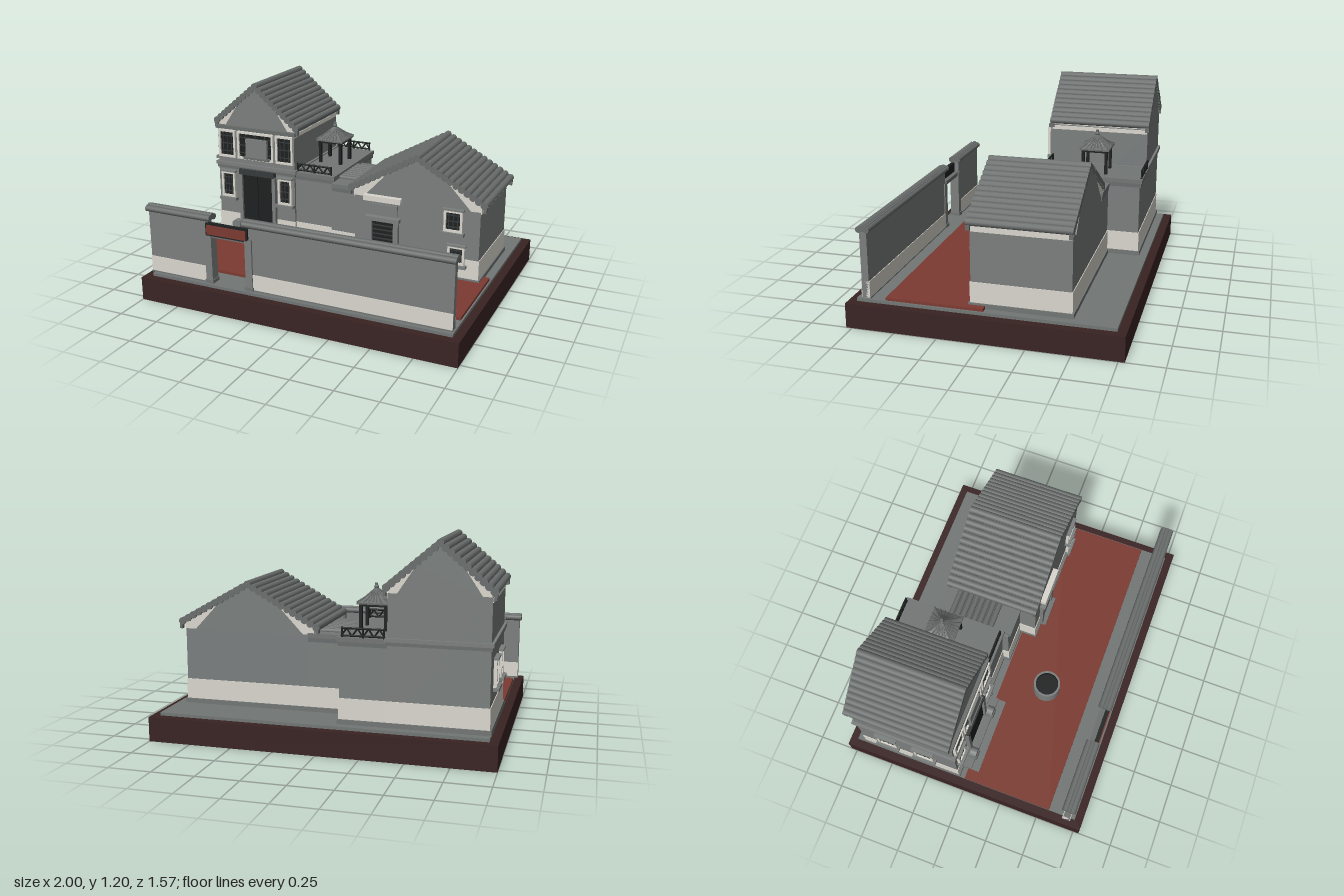
import * as THREE from 'three';

const mat = (name, color, side = THREE.FrontSide) => {
  const m = new THREE.MeshStandardMaterial({ color, side });
  m.name = name;
  return m;
};

export function createModel() {
  const root = new THREE.Group();
  const wall = mat('wall gray', 0x7b7f7e);
  const tile = mat('tile gray', 0x6a6e6d);
  const paving = mat('paving gray', 0x727675);
  const white = mat('plaster white', 0xdad7ce);
  const red = mat('brick red', 0x7c3b32);
  const soil = mat('base brown', 0x3a2323);
  const dark = mat('dark wood', 0x1e2121);
  const lattice = mat('lattice gray', 0x363a3a);

  const add = (name, geo, m, parent = root) => {
    const mesh = new THREE.Mesh(geo, m);
    mesh.name = name;
    parent.add(mesh);
    return mesh;
  };
  // box given by its limits on each axis
  const box = (name, x0, x1, y0, y1, z0, z1, m, parent = root) => {
    const b = add(name, new THREE.BoxGeometry(x1 - x0, y1 - y0, z1 - z0), m, parent);
    b.position.set((x0 + x1) / 2, (y0 + y1) / 2, (z0 + z1) / 2);
    return b;
  };
  // round bar between two points
  const bar = (name, a, b, r, m, parent = root, sides = 8) => {
    const p = new THREE.Vector3(...a), d = new THREE.Vector3(...b).sub(p);
    const c = add(name, new THREE.CylinderGeometry(r, r, d.length(), sides), m, parent);
    c.position.copy(p).addScaledVector(d, 0.5);
    c.quaternion.setFromUnitVectors(new THREE.Vector3(0, 1, 0), d.normalize());
    return c;
  };
  const prism = (name, pts, z0, z1, m, parent) => {
    const s = new THREE.Shape(pts.map(p => new THREE.Vector2(...p)));
    const e = add(name, new THREE.ExtrudeGeometry(s, { depth: z1 - z0, bevelEnabled: false }), m, parent);
    e.position.z = z0;
    return e;
  };
  const group = (name, parent = root) => {
    const g = new THREE.Group();
    g.name = name;
    parent.add(g);
    return g;
  };

  // framed lattice window facing its own +z
  const windowAt = (name, x, y, z, w, h, rotY = 0, sill = true) => {
    const g = group(name);
    g.position.set(x, y, z);
    g.rotation.y = rotY;
    const a = w / 2, b = h / 2, t = 0.014;
    box('pane', -a, a, -b, b, 0, 0.008, dark, g);
    for (const s of [-1, 1]) {
      box('frameSide', s * a - t / 2, s * a + t / 2, -b, b, 0, 0.02, white, g);
      box('frameRail', -a - t / 2, a + t / 2, s * b - t / 2, s * b + t / 2, 0, 0.02, white, g);
    }
    for (const f of [-0.5, 0, 0.5]) {
      box('mullion', f * a * 1.1 - 0.003, f * a * 1.1 + 0.003, -b, b, 0.004, 0.012, lattice, g);
      box('crossBar', -a, a, f * b * 1.2 - 0.003, f * b * 1.2 + 0.003, 0.004, 0.012, lattice, g);
    }
    if (sill) {
      box('sill', -a - 0.02, a + 0.02, -b - 0.025, -b - 0.007, 0, 0.035, wall, g);
      box('hood', -a - 0.015, a + 0.015, b + 0.007, b + 0.018, 0, 0.028, wall, g);
    }
  };

  // walls with a plinth and a white dado band
  const body = (name, x0, x1, yTop, z0, z1) => {
    const g = group(name), e = 0.004;
    box('walls', x0, x1, 0.16, yTop, z0, z1, wall, g);
    box('plinth', x0 - 0.012, x1 + 0.012, 0.16, 0.19, z0 - 0.012, z1 + 0.012, paving, g);
    box('whiteBand', x0 - e, x1 + e, 0.19, 0.31, z0 - e, z1 + e, white, g);
    return g;
  };

  // pitched roof with round tile rows running along the ridge
  const roof = (name, cx, half, yEave, yRidge, z0, z1, wallHalf, wallTop, rows) => {
    const g = group(name), r = 0.022, zc = (z0 + z1) / 2;
    const run = half - r, rise = yRidge - yEave, len = Math.hypot(run, rise);
    const under = x => yRidge - 0.014 - rise * x / run;
    const inset = 0.012;
    prism('whiteGable', [[cx - wallHalf, wallTop], [cx + wallHalf, wallTop],
      [cx + wallHalf, under(wallHalf)], [cx, under(0)], [cx - wallHalf, under(wallHalf)]], z0 + inset, z1 - inset, white, g);
    const k = wallHalf * 0.45, f = wallHalf * 0.84;
    prism('gableWall', [[cx - f, wallTop], [cx + f, wallTop], [cx + k, under(k)],
      [cx, under(0)], [cx - k, under(k)]], z0 + 0.007, z1 - 0.007, wall, g);
    for (const s of [-1, 1]) {
      const slab = add('roofSlab', new THREE.BoxGeometry(len, 0.018, z1 - z0), tile, g);
      slab.position.set(cx + s * run / 2, (yEave + yRidge) / 2, zc);
      slab.rotation.z = -s * Math.atan2(rise, run);
      for (let i = 1; i <= rows; i++) {
        const t = i / rows, x = cx + s * run * t, y = yRidge - rise * t;
        bar('tileRow', [x, y, z0], [x, y, z1], r, tile, g, 10);
      }
      const ex = cx + s * (half - 0.014);
      for (const z of [z0 + 0.012, z1 - 0.012])
        box('eaveBracket', ex - 0.008, ex + 0.008, yEave - 0.045, yEave, z - 0.012, z + 0.012, tile, g);
    }
    bar('ridgeTile', [cx, yRidge, z0], [cx, yRidge, z1], r, tile, g, 10);
  };

  // ground
  box('base', -1, 1, 0, 0.145, -0.785, 0.785, soil);
  box('paving', -0.95, 0.95, 0.145, 0.163, -0.735, 0.735, paving);
  box('brickYard', -0.95, 0.94, 0.163, 0.18, 0, 0.565, red);

  // front boundary wall, in two lengths
  for (const [x0, x1] of [[-0.97, -0.56], [-0.29, 0.94]]) {
    const g = group('boundaryWall');
    box('wall', x0, x1, 0.16, 0.56, 0.662, 0.704, wall, g);
    box('whiteBand', x0, x1, 0.168, 0.265, 0.658, 0.708, white, g);
    box('footing', x0, x1, 0.16, 0.17, 0.655, 0.711, paving, g);
    const c0 = x0 < -0.5 ? x0 - 0.012 : x0 - 0.035, c1 = x0 < -0.5 ? x1 + 0.02 : x1 + 0.008;
    for (const z of [0.66, 0.706]) bar('copingRoll', [c0, 0.568, z], [c1, 0.568, z], 0.018, tile, g, 10);
    box('coping', c0, c1, 0.557, 0.588, 0.658, 0.708, tile, g);
    bar('copingRidge', [c0, 0.578, 0.683], [c1, 0.578, 0.683], 0.017, tile, g, 10);
  }

  // gate with a red board
  const gate = group('gate');
  for (const x of [-0.558, -0.29]) {
    box('gatePost', x - 0.022, x + 0.022, 0.16, 0.475, 0.655, 0.715, wall, gate);
    box('gatePostFoot', x - 0.027, x + 0.027, 0.16, 0.185, 0.65, 0.72, paving, gate);
  }
  box('gateLintel', -0.58, -0.268, 0.455, 0.48, 0.66, 0.712, tile, gate);
  box('gateBoardFrame', -0.57, -0.29, 0.465, 0.542, 0.69, 0.715, dark, gate);
  box('gateBoard', -0.56, -0.30, 0.475, 0.532, 0.714, 0.722, red, gate);

  // well
  const well = group('well');
  well.position.set(-0.22, 0.18, 0.285);
  const rim = [[0.085, 0], [0.085, 0.11], [0.072, 0.11], [0.072, 0.02]].map(p => new THREE.Vector2(...p));
  for (let i = 0; i < 3; i++) // separate segments keep the rim sharp
    add('wellRing', new THREE.LatheGeometry([rim[i], rim[i + 1]], 28), i === 2 ? dark : wall, well);
  add('wellWater', new THREE.CylinderGeometry(0.073, 0.073, 0.02, 28), dark, well).position.y = 0.07;

  // tall house
  const tall = body('tallHouse', -0.94, -0.38, 0.905, -0.675, -0.045);
  box('floorCornice', -0.955, -0.365, 0.64, 0.662, -0.69, -0.03, wall, tall);
  box('corniceLower', -0.948, -0.372, 0.62, 0.64, -0.683, -0.037, tile, tall);
  box('eaveBand', -0.944, -0.376, 0.875, 0.9, -0.67, -0.05, white, tall);
  roof('tallRoof', -0.66, 0.31, 0.935, 1.18, -0.685, -0.06 + 0.012, 0.275, 0.9, 10);
  box('frontCornice', -0.95, -0.37, 0.885, 0.908, -0.06, -0.034, tile, tall);
  box('upperSill', -0.95, -0.37, 0.68, 0.7, -0.05, -0.028, wall, tall);
  windowAt('upperWindow', -0.865, 0.79, -0.046, 0.11, 0.17, 0, false);
  windowAt('upperWindow', -0.445, 0.79, -0.046, 0.11, 0.17, 0, false);
  windowAt('upperMiddleWindow', -0.655, 0.79, -0.046, 0.25, 0.17, 0, false);
  box('balconyPanel', -0.72, -0.565, 0.715, 0.84, -0.04, -0.018, wall, tall);
  box('balconyPanelTop', -0.735, -0.55, 0.705, 0.718, -0.04, -0.012, tile, tall);
  windowAt('lowerWindow', -0.865, 0.51, -0.046, 0.085, 0.16);
  windowAt('lowerWindow', -0.445, 0.51, -0.046, 0.085, 0.16);
  for (const z of [-0.49, -0.25]) windowAt('sideWindow', -0.939, 0.47, z, 0.11, 0.14, -Math.PI / 2);

  // tall house door, steps and drum stones
  const door = group('tallDoor');
  for (const s of [-1, 1]) {
    const x = -0.645 + s * 0.056;
    box('doorLeaf', x - 0.054, x + 0.054, 0.21, 0.595, -0.046, -0.034, dark, door);
    const jx = -0.645 + s * 0.122;
    box('doorJamb', jx - 0.012, jx + 0.012, 0.2, 0.6, -0.046, -0.018, wall, door);
    const drum = bar('drumStone', [jx + s * 0.02, 0.255, -0.02], [jx + s * 0.02, 0.255, 0.02], 0.03, wall, door, 16);
    drum.position.z = 0.005;
    box('drumStoneFoot', jx + s * 0.02 - 0.03, jx + s * 0.02 + 0.03, 0.18, 0.23, -0.03, 0.03, paving, door);
  }
  box('doorLintel', -0.775, -0.515, 0.595, 0.63, -0.046, -0.015, lattice, door);
  box('upperStep', -0.885, -0.4, 0.163, 0.205, -0.05, 0.02, paving, door);
  box('lowerStep', -0.885, -0.4, 0.163, 0.187, 0.02, 0.07, paving, door);

  // terrace block between the houses
  const terrace = body('terraceBlock', -0.38, -0.11, 0.63, -0.675, -0.06);
  box('terraceFloor', -0.38, -0.1, 0.63, 0.655, -0.69, -0.045, paving, terrace);
  box('terraceCornice', -0.38, -0.104, 0.605, 0.63, -0.682, -0.052, tile, terrace);
  for (const z of [-0.682, -0.065]) {
    const g = group('railing', terrace);
    for (const y of [0.665, 0.706]) bar('rail', [-0.37, y, z], [-0.125, y, z], 0.006, dark, g);
    const n = 8, step = 0.245 / n;
    for (let i = 0; i < n; i++) {
      const x = -0.37 + i * step, up = i % 2;
      bar('railBrace', [x, up ? 0.706 : 0.662, z], [x + step, up ? 0.662 : 0.706, z], 0.005, dark, g);
    }
    for (const x of [-0.365, -0.248, -0.13]) bar('railPost', [x, 0.65, z], [x, 0.712, z], 0.006, dark, g);
  }

  // small pavilion with a flared square roof
  const pav = group('pavilion');
  pav.position.set(-0.248, 0.655, -0.378);
  for (const x of [-1, 1]) for (const z of [-1, 1])
    box('pavilionPost', x * 0.072 - 0.009, x * 0.072 + 0.009, 0, 0.155, z * 0.072 - 0.009, z * 0.072 + 0.009, dark, pav);
  box('pavilionBeam', -0.082, 0.082, 0.135, 0.152, -0.082, 0.082, dark, pav);
  const curve = [[0.001, 0.232], [0.025, 0.21], [0.06, 0.178], [0.093, 0.158], [0.093, 0.148], [0.001, 0.148]];
  const R = Math.SQRT2;
  const cap = new THREE.LatheGeometry(curve.map(p => new THREE.Vector2(p[0] * R, p[1])).reverse(), 4, Math.PI / 4).toNonIndexed();
  cap.computeVertexNormals();
  add('pavilionRoof', cap, tile, pav);
  for (let i = 0; i < 24; i++) {
    const a = i / 24 * Math.PI * 2, c = Math.cos(a), s = Math.sin(a), q = 1 / Math.max(Math.abs(c), Math.abs(s));
    const pts = curve.slice(0, 4).map(([r, y]) => new THREE.Vector3(c * q * r, y + 0.002, s * q * r));
    add('pavilionRib', new THREE.TubeGeometry(new THREE.CatmullRomCurve3(pts), 5, 0.005, 5), tile, pav);
  }
  bar('finial', [0, 0.22, 0], [0, 0.262, 0], 0.009, tile, pav);
  add('finialBall', new THREE.SphereGeometry(0.014, 12, 8), tile, pav).position.y = 0.24;

  // tiled passage joining the low house
  const passage = body('passage', -0.11, 0.13, 0.6, -0.48, -0.02);
  box('passageTop', -0.1, 0.13, 0.6, 0.625, -0.49, -0.005, paving, passage);
  box('passageCornice', -0.1, 0.13, 0.575, 0.6, -0.485, -0.012, tile, passage);
  for (let i = 0; i < 8; i++) {
    const z = -0.4 + i * 0.037;
    bar('passageTile', [-0.1, 0.628, z], [0.12, 0.628, z], 0.017, tile, passage, 10);
  }

  // low house
  const low = body('lowHouse', 0.1, 0.89, 0.615, -0.48, 0.085);
  box('eaveBand', 0.095, 0.895, 0.6, 0.645, -0.476, 0.08, white, low);
  roof('lowRoof', 0.495, 0.437, 0.66, 0.893, -0.49, 0.097, 0.4, 0.612, 12);
  windowAt('upperFrontWindow', 0.73, 0.54, 0.084, 0.1, 0.12);
  windowAt('lowerFrontWindow', 0.755, 0.33, 0.084, 0.09, 0.1);

  // low house door with its hood
  const lowDoor = group('lowDoor');
  box('doorPanel', 0.22, 0.36, 0.19, 0.47, 0.084, 0.094, dark, lowDoor);
  for (let i = 0; i < 9; i++)
    box('doorSlat', 0.22, 0.36, 0.215 + i * 0.028, 0.222 + i * 0.028, 0.09, 0.1, lattice, lowDoor);
  for (const x of [0.205, 0.375]) box('doorJamb', x - 0.016, x + 0.016, 0.18, 0.48, 0.084, 0.108, wall, lowDoor);
  box('doorLintel', 0.18, 0.4, 0.475, 0.5, 0.084, 0.122, wall, lowDoor);
  box('doorBoard', 0.2, 0.38, 0.51, 0.575, 0.084, 0.095, wall, lowDoor);
  box('doorHood', 0.17, 0.41, 0.6, 0.633, 0.084, 0.125, white, lowDoor);
  box('doorStep', 0.19, 0.39, 0.165, 0.195, 0.084, 0.13, paving, lowDoor);

  return root;
}
